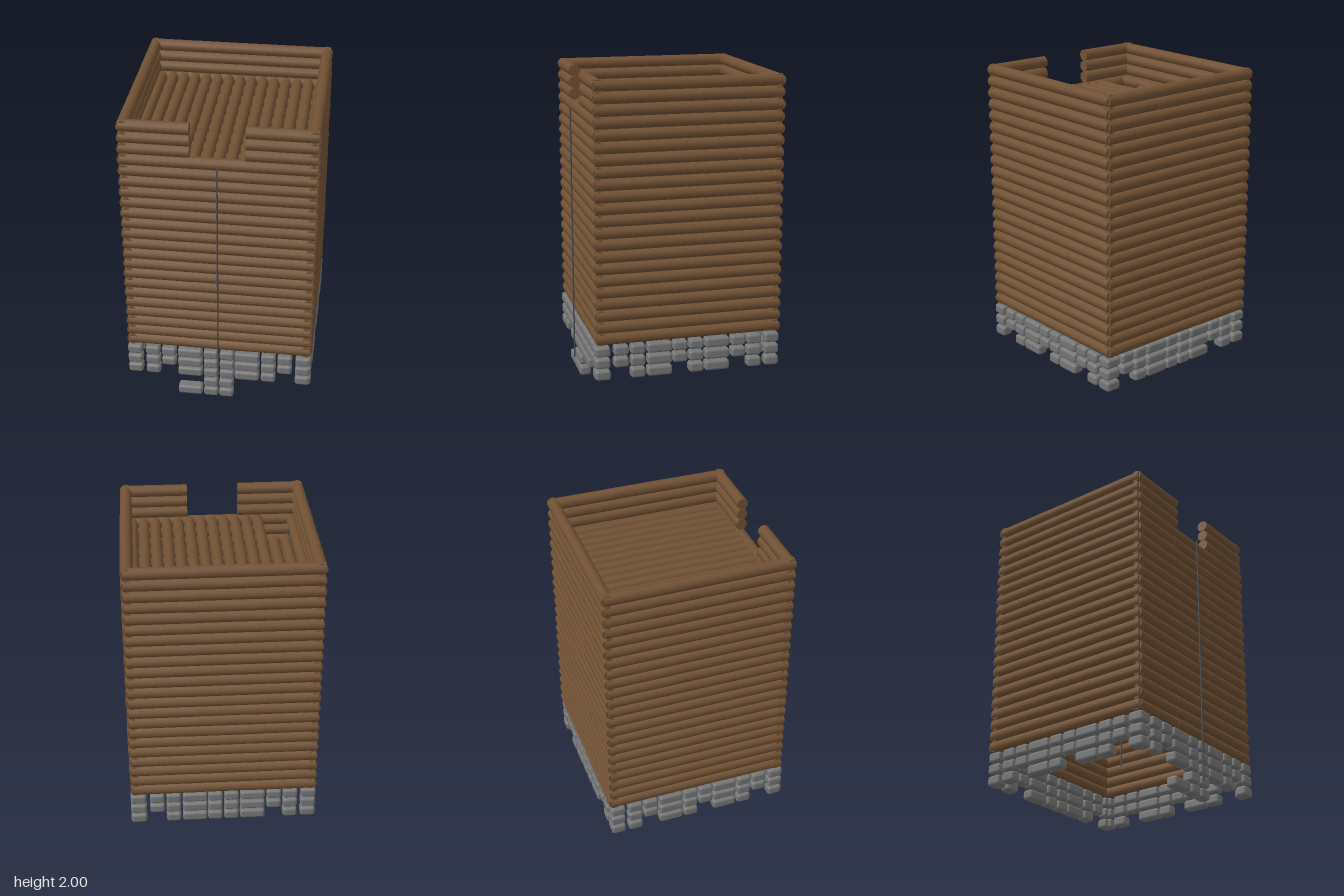
import * as THREE from 'three';
import { RoundedBoxGeometry } from 'three/addons/geometries/RoundedBoxGeometry.js';

const wood = new THREE.MeshStandardMaterial({ color: 0x705033 });
wood.name = 'brown wood';
const stone = new THREE.MeshStandardMaterial({ color: 0x757575 });
stone.name = 'grey stone';
const iron = new THREE.MeshStandardMaterial({ color: 0x454b52 });
iron.name = 'dark iron';

const R = 0.037;        // log radius
const COURSE = 0.0739;  // height of one log course
const FIRST = 0.411;    // centre of the lowest log course
const FRONT = 0.54, BACK = -0.575, SIDE = 0.558;

// small seeded generator for hand-laid unevenness
let seed = 7;
const jitter = (a) => {
  seed = (seed * 16807) % 2147483647;
  return (seed / 2147483647 - 0.5) * 2 * a;
};

// log running along x or z between two coordinates
function log(name, axis, from, to, y, across, r = R) {
  const g = new THREE.CylinderGeometry(r, r, to - from, 12);
  if (axis === 'x') g.rotateZ(Math.PI / 2);
  else g.rotateX(Math.PI / 2);
  const m = new THREE.Mesh(g, wood);
  m.name = name;
  const mid = (from + to) / 2;
  if (axis === 'x') m.position.set(mid, y, across);
  else m.position.set(across, y, mid);
  return m;
}

const stoneAlongX = new RoundedBoxGeometry(0.094, 0.064, 0.074, 2, 0.018);
const stoneAlongZ = new RoundedBoxGeometry(0.074, 0.064, 0.094, 2, 0.018);
function block(axis, along, row, across) {
  const m = new THREE.Mesh(axis === 'x' ? stoneAlongX : stoneAlongZ, stone);
  m.name = 'foundationStone';
  const y = 0.032 + row * 0.0757;
  if (axis === 'x') m.position.set(along, y, across);
  else m.position.set(across, y, along);
  return m;
}

export function createModel() {
  const model = new THREE.Group();
  model.name = 'logTower';
  const group = (name) => {
    const g = new THREE.Group();
    g.name = name;
    model.add(g);
    return g;
  };

  // four walls, each course made of three overlapping logs
  const walls = [
    { name: 'frontWall', axis: 'x', across: FRONT, spans: [[-0.58, -0.167], [-0.21, 0.205], [0.163, 0.58]] },
    { name: 'backWall', axis: 'x', across: BACK, spans: [[-0.58, -0.167], [-0.21, 0.205], [0.163, 0.58]] },
    { name: 'leftWall', axis: 'z', across: SIDE, spans: [[-0.595, -0.18], [-0.222, 0.195], [0.153, 0.565]] },
    { name: 'rightWall', axis: 'z', across: -SIDE, spans: [[-0.595, -0.18], [-0.222, 0.195], [0.153, 0.565]] },
  ];
  for (const w of walls) {
    const wall = group(w.name);
    for (let i = 0; i < 22; i++) {
      w.spans.forEach(([a, b], part) => {
        // opening at the top of the front wall
        if (w.name === 'frontWall' && part === 1 && i > 18) return;
        wall.add(log('wallLog', w.axis, a, b, FIRST + i * COURSE, w.across + jitter(0.0015)));
      });
    }
  }

  // deck of logs in three rows, with a hatch near the front right corner
  const deck = group('deck');
  const rows = [[-0.575, -0.17], [-0.235, 0.205], [0.17, 0.545]];
  for (let k = -7; k <= 7; k++) {
    rows.forEach(([a, b], r) => {
      if (r === 2 && (k === -6 || k === -5)) return;
      const radius = r === 1 ? 0.0355 : 0.0348;
      deck.add(log('deckLog', 'z', a, b, 1.745 + (r === 1 ? 0.002 : 0), k * 0.0745, radius));
    });
  }

  // steps beneath the hatch
  const steps = group('hatchSteps');
  [[0.225, 0.11, 1.4], [0.355, 0.15, 1.15], [0.47, 0.1, 0.9]].forEach(([z, d, y]) => {
    const s = new THREE.Mesh(new THREE.BoxGeometry(0.148, 0.05, d), wood);
    s.name = 'step';
    s.position.set(-0.41, y, z);
    steps.add(s);
  });

  // stone footing: three courses, the lowest one broken by gaps
  const footing = group('stoneFooting');
  const spots = [-0.545, -0.43, -0.325, -0.22, -0.155, -0.052, 0.052, 0.15, 0.215, 0.32, 0.425, 0.54];
  for (let row = 2; row <= 4; row++) {
    spots.forEach((s, i) => {
      if (!(row === 2 && (i === 2 || i === 10))) {
        footing.add(block('x', s, row, FRONT + 0.005), block('x', s, row, BACK + 0.01));
      }
      if (!(row === 2 && (i === 2 || i === 6 || i === 10))) {
        const z = s - 0.01;
        footing.add(block('z', z, row, SIDE), block('z', z, row, -SIDE));
      }
    });
  }
  // loose stones under the front
  for (const x of [-0.052, 0.048]) footing.add(block('x', x, 1, FRONT + 0.008));
  for (const x of [-0.22, -0.155, -0.052, 0.048]) footing.add(block('x', x, 0, FRONT + 0.008));

  // thin climbing poles at the front and inside the hatch
  for (const [name, x, z] of [['frontPole', 0, 0.602], ['hatchPole', -0.485, 0.355]]) {
    const p = new THREE.Mesh(new THREE.CylinderGeometry(0.005, 0.005, 1.65, 8), iron);
    p.name = name;
    p.position.set(x, 0.925, z);
    model.add(p);
  }
  return model;
}
